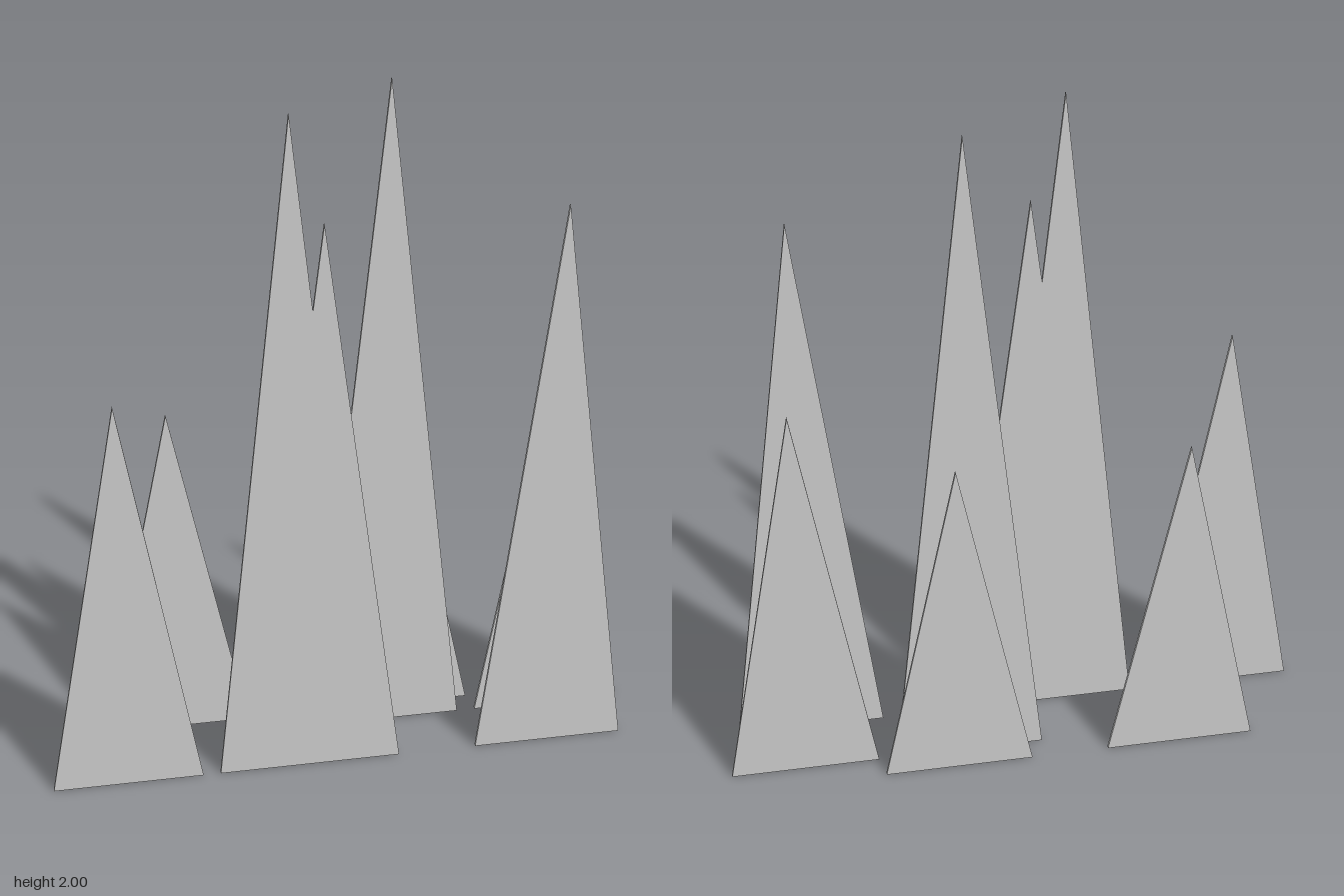
import * as THREE from 'three';

const HALF = 0.211;      // half the base width shared by all peaks
const THICK = 0.01;      // sheet thickness

const material = new THREE.MeshStandardMaterial({ color: 0xcccccc, flatShading: true });

// Thin upright sheet cut to an outline, centred on depth z
function sheet(name, points, z) {
  const shape = new THREE.Shape(points.map(([x, y]) => new THREE.Vector2(x, y)));
  const geometry = new THREE.ExtrudeGeometry(shape, { depth: THICK, bevelEnabled: false });
  const mesh = new THREE.Mesh(geometry, material);
  mesh.name = name;
  mesh.position.z = z - THICK / 2;
  return mesh;
}

// Single triangular peak
const peak = (name, x, height, z) =>
  sheet(name, [[x - HALF, 0], [x + HALF, 0], [x, height]], z);

// Two overlapping peaks merged into one outline; the notch is where their inner slopes cross
function twinPeak(name, xa, ha, xb, hb, z) {
  const y = (xa - xb + 2 * HALF) / (HALF / ha + HALF / hb);
  const x = xa + HALF * (1 - y / ha);
  return sheet(name, [[xa - HALF, 0], [xb + HALF, 0], [xb, hb], [x, y], [xa, ha]], z);
}

export function createModel() {
  const group = new THREE.Group();
  group.name = 'peaks';
  const front = 0.124, middle = -0.055, back = -0.124;
  group.add(
    // Front row
    peak('frontRightPeak', -0.621, 1.21, front),
    twinPeak('frontTwinPeak', -0.15, 2, -0.06, 1.69, front),
    peak('frontLeftPeak', 0.584, 1.69, front),
    // Middle row
    peak('middleCentrePeak', 0.147, 2, middle),
    peak('middleLeftPeak', 0.621, 1.21, middle),
    // Back row
    peak('backRightPeak', -0.456, 1.03, back),
    peak('backCentrePeak', 0.187, 1.03, back),
  );
  return group;
}
